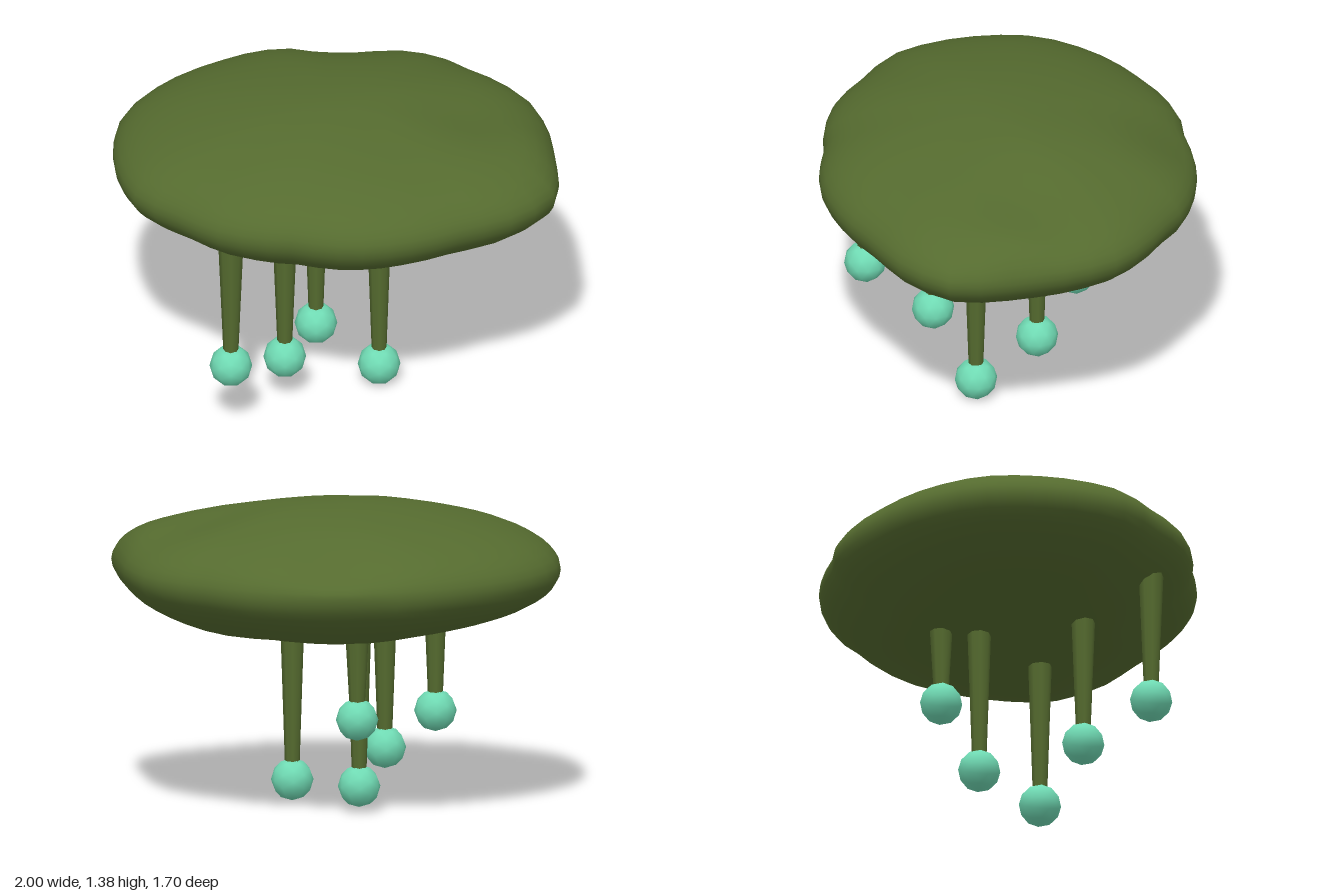
import * as THREE from 'three';
import { mergeVertices } from 'three/addons/utils/BufferGeometryUtils.js';

// Rim of the cap seen from above, as x, z pairs
const RIM = [
  [0.12, -0.85], [0.38, -0.8], [0.53, -0.73], [0.65, -0.62], [0.77, -0.53], [0.9, -0.36], [0.95, -0.2],
  [0.98, 0], [0.99, 0.2], [1.0, 0.36], [0.94, 0.46], [0.8, 0.59], [0.58, 0.69], [0.38, 0.79],
  [0.12, 0.85], [0, 0.845], [-0.2, 0.79], [-0.53, 0.71], [-0.73, 0.55], [-0.9, 0.4], [-0.98, 0.2],
  [-1, 0.06], [-0.98, -0.25], [-0.93, -0.37], [-0.79, -0.55], [-0.57, -0.71], [-0.24, -0.84], [-0.1, -0.835],
];
const polar = RIM.map(([x, z]) => ({ a: Math.atan2(z, x), r: Math.hypot(x, z) })).sort((p, q) => p.a - q.a);

// Rim radius at an angle, blended between neighbouring rim points
function rimRadius(angle) {
  const n = polar.length;
  let i = polar.findIndex((p) => p.a > angle);
  if (i < 0) i = n;
  const p = polar[(i - 1 + n) % n], q = polar[i % n];
  const turn = 2 * Math.PI;
  const span = (q.a - p.a + turn) % turn, t = ((angle - p.a + turn) % turn) / span;
  return THREE.MathUtils.lerp(p.r, q.r, t);
}

// Soft swellings and dents: x, z, height, width
const TOP_BUMPS = [[-0.2, 0.1, 0.015, 0.25], [0.6, 0, -0.025, 0.18], [0.9, 0.1, 0.03, 0.12],
  [0.05, -0.76, -0.04, 0.15], [0.3, -0.1, 0.015, 0.2]];
const BOTTOM_BUMPS = [[0.52, 0.08, -0.045, 0.22], [-0.5, 0, 0.015, 0.2], [0.2, 0.1, 0.01, 0.12],
  [0, 0.38, -0.02, 0.2], [0, -0.5, -0.015, 0.2]];
const bumps = (list, x, z) =>
  list.reduce((sum, [bx, bz, h, w]) => sum + h * Math.exp(-((x - bx) ** 2 + (z - bz) ** 2) / (2 * w * w)), 0);

// Uneven flattened cap
function capGeometry() {
  let g = new THREE.SphereGeometry(1, 48, 28);
  const pos = g.attributes.position;
  for (let i = 0; i < pos.count; i++) {
    const y = pos.getY(i);
    const angle = Math.atan2(pos.getZ(i), pos.getX(i));
    const r = Math.hypot(pos.getX(i), pos.getZ(i)) * rimRadius(angle);
    const x = r * Math.cos(angle), z = r * Math.sin(angle);
    const fade = Math.min(1, Math.abs(y) * 2.5);
    const up = y > 0 ? 0.28 * y + fade * bumps(TOP_BUMPS, x, z) : 0.305 * y + fade * bumps(BOTTOM_BUMPS, x, z);
    pos.setXYZ(i, x, 1.098 + 0.012 * z + up, z);
  }
  g.deleteAttribute('uv');
  g.deleteAttribute('normal');
  g = mergeVertices(g, 1e-4);
  g.computeVertexNormals();
  return g;
}

export function createModel() {
  const model = new THREE.Group();
  model.name = 'hangingBulbCap';
  const olive = new THREE.MeshStandardMaterial({ color: 0x556b2f });
  olive.name = 'olive green';
  const aqua = new THREE.MeshStandardMaterial({ color: 0x70dbb4 });
  aqua.name = 'aqua';

  const add = (name, geometry, material, x = 0, y = 0, z = 0) => {
    const mesh = new THREE.Mesh(geometry, material);
    mesh.name = name;
    mesh.position.set(x, y, z);
    model.add(mesh);
  };

  add('cap', capGeometry(), olive);

  // Tapered vines, each ending in a bulb: x, bulb height, z, top height
  const bulb = new THREE.IcosahedronGeometry(0.096, 1);
  const vines = [
    [-0.48, 0.345, 0.56, 0.97], [-0.235, 0.225, 0.29, 0.9], [-0.09, 0.125, -0.16, 0.88],
    [0.19, 0.105, 0.16, 0.88], [-0.07, 0.455, -0.33, 0.9],
  ];
  vines.forEach(([x, y, z, top], i) => {
    const length = top - y;
    add(`vine${i + 1}`, new THREE.CylinderGeometry(0.056, 0.031, length, 8), olive, x, y + length / 2, z);
    add(`bulb${i + 1}`, bulb, aqua, x, y, z);
  });
  return model;
}
